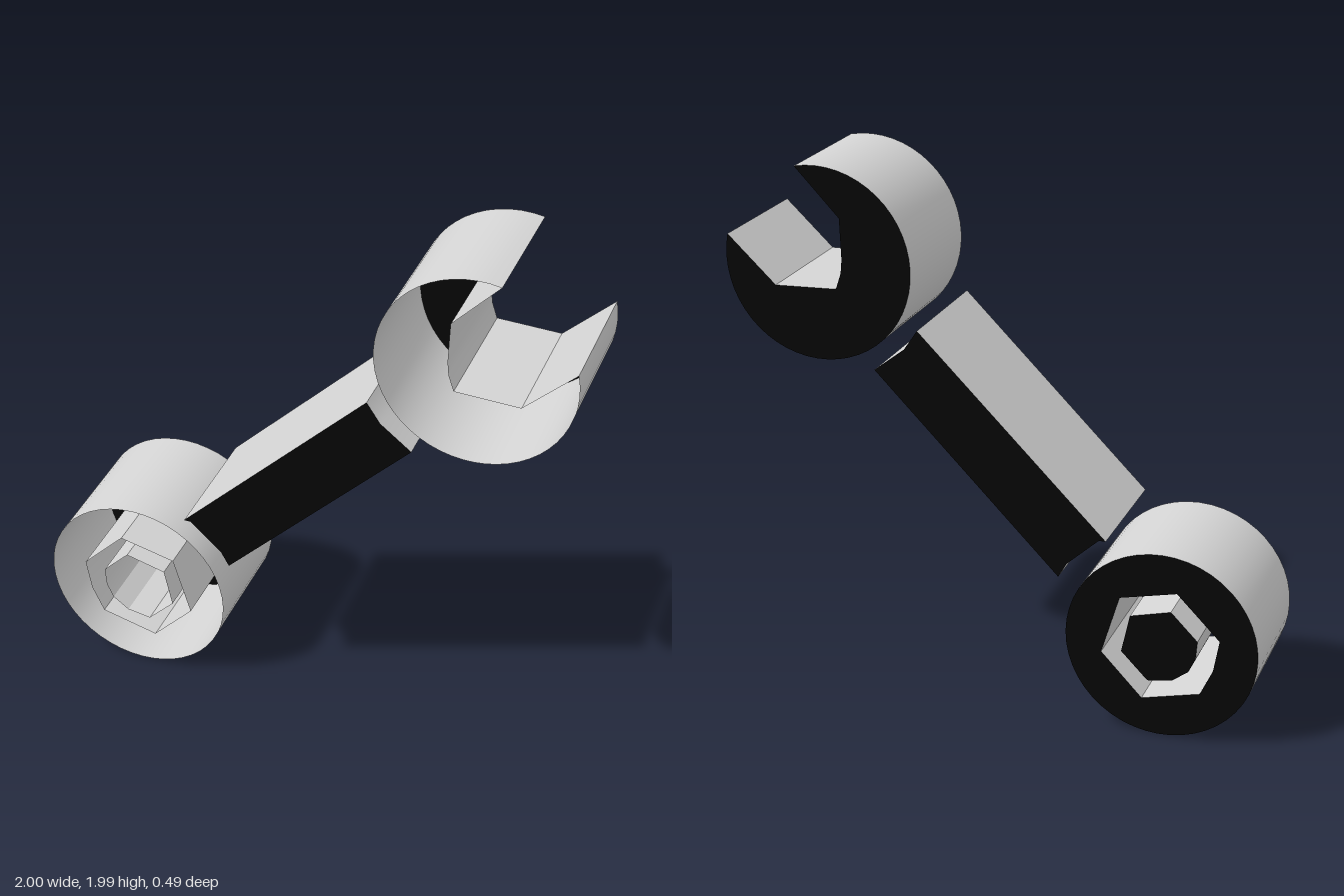
import * as THREE from 'three';
import { toCreasedNormals } from 'three/addons/utils/BufferGeometryUtils.js';

const HALF = 0.245; // half the thickness

const steel = new THREE.MeshStandardMaterial({ name: 'lightSteel', color: 0xd4d4d4, side: THREE.DoubleSide });
const black = new THREE.MeshStandardMaterial({ name: 'blackFace', color: 0x050505, side: THREE.DoubleSide });

const toPoints = (list) => list.map(([x, y]) => new THREE.Vector2(x, y));

// Points along an arc, counter-clockwise, angles in degrees
function arc(cx, cy, r, from, to, steps) {
  return Array.from({ length: steps + 1 }, (_, i) => {
    const a = THREE.MathUtils.degToRad(from + ((to - from) * i) / steps);
    return new THREE.Vector2(cx + r * Math.cos(a), cy + r * Math.sin(a));
  });
}

// Side wall swept through the thickness along a closed outline
function wall(name, outline, hole = false) {
  const isCCW = !THREE.ShapeUtils.isClockWise(outline);
  const loop = isCCW !== hole ? outline : [...outline].reverse();
  const pos = [];
  loop.forEach((a, i) => {
    const b = loop[(i + 1) % loop.length];
    pos.push(a.x, a.y, -HALF, b.x, b.y, -HALF, b.x, b.y, HALF);
    pos.push(a.x, a.y, -HALF, b.x, b.y, HALF, a.x, a.y, HALF);
  });
  const geo = new THREE.BufferGeometry();
  geo.setAttribute('position', new THREE.Float32BufferAttribute(pos, 3));
  const mesh = new THREE.Mesh(toCreasedNormals(geo, 0.4), steel);
  mesh.name = name;
  return mesh;
}

// Flat black face closing one end of an outline
function cap(name, outline, side, hole) {
  const shape = new THREE.Shape(outline);
  if (hole) shape.holes.push(new THREE.Path(hole));
  const geo = new THREE.ShapeGeometry(shape);
  if (side < 0) { // turn the face to the back
    const idx = geo.index.array;
    for (let i = 0; i < idx.length; i += 3) [idx[i], idx[i + 1]] = [idx[i + 1], idx[i]];
    geo.computeVertexNormals();
  }
  const mesh = new THREE.Mesh(geo, black);
  mesh.name = name;
  mesh.position.z = side * HALF;
  return mesh;
}

function part(name, ...meshes) {
  const group = new THREE.Group();
  group.name = name;
  group.add(...meshes);
  return group;
}

export function createModel() {
  const model = new THREE.Group();
  model.name = 'wrench';

  // Ring head: hollow shell, open at the front, with a hexagonal hole
  const ring = arc(-0.645, 0.355, 0.355, 0, 352.5, 47);
  const hexHole = toPoints([[-0.7, 0.57], [-0.49, 0.52], [-0.425, 0.295], [-0.58, 0.135], [-0.795, 0.19],
    [-0.84, 0.29], [-0.86, 0.41]]);
  model.add(part('ringHead',
    wall('ringOuterWall', ring),
    wall('ringHoleWall', hexHole, true),
    cap('ringBack', ring, -1, hexHole)));

  // Hexagonal bolt inside the ring, also open at the front
  const bolt = toPoints([[-0.68, 0.495], [-0.53, 0.455], [-0.5, 0.31], [-0.6, 0.21], [-0.69, 0.225],
    [-0.75, 0.27], [-0.775, 0.325], [-0.78, 0.395]]);
  model.add(part('bolt', wall('boltWall', bolt), cap('boltBack', bolt, -1)));

  // Handle: closed at front and back
  const handle = toPoints([[-0.26, 0.565], [0.435, 1.265], [0.32, 1.355], [0.27, 1.43],
    [-0.435, 0.73], [-0.41, 0.73], [-0.29, 0.62]]);
  model.add(part('handle',
    wall('handleWall', handle),
    cap('handleFront', handle, 1),
    cap('handleBack', handle, -1)));

  // Open jaw: hollow shell, open at the front
  const jaw = [
    ...arc(0.645, 1.636, 0.355, 77.7, 372.3, 44),
    ...toPoints([[0.81, 1.54], [0.575, 1.55], [0.555, 1.61], [0.55, 1.66], [0.555, 1.81]]),
  ];
  model.add(part('openJaw', wall('jawWall', jaw), cap('jawBack', jaw, -1)));

  return model;
}
